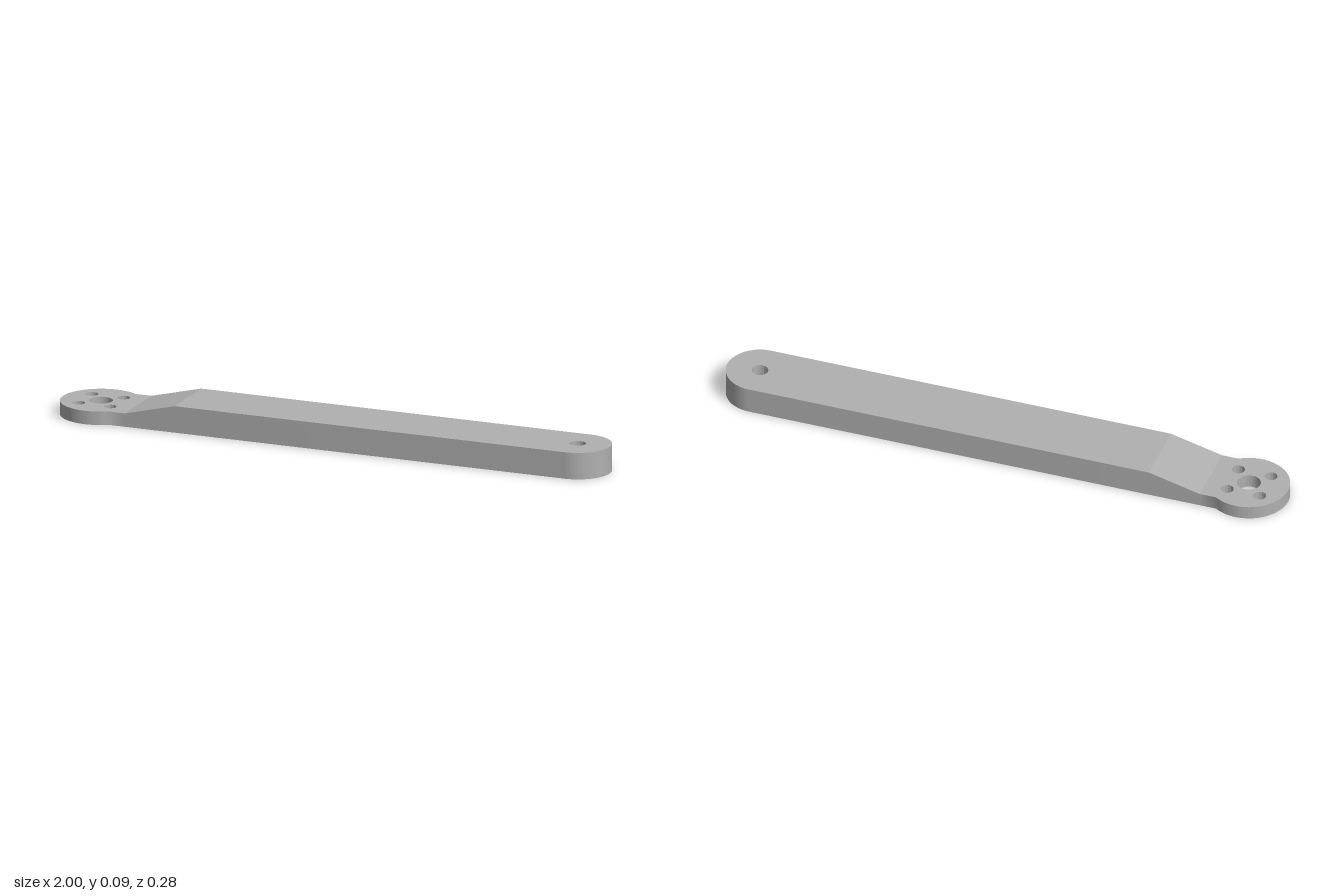
import * as THREE from 'three';
import { toCreasedNormals } from 'three/addons/utils/BufferGeometryUtils.js';

const HALF = 0.1155;                      // half width of the bar
const DISC_X = -0.861, DISC_R = 0.139;    // mounting disc
const END_X = 1 - HALF;                   // centre of the rounded tip
const RAMP_START = -0.725, RAMP_END = -0.543;
const LOW = 0.047, HIGH = 0.093;

export function createModel() {
  const group = new THREE.Group();
  group.name = 'motorArm';
  const grey = new THREE.MeshStandardMaterial({ color: 0xb0b0b0 });
  grey.name = 'grey';

  const hole = (shape, x, z, r) => {
    const path = new THREE.Path();
    path.absarc(x, z, r, 0, Math.PI * 2, true);
    shape.holes.push(path);
  };
  const add = (name, geometry) => {
    const mesh = new THREE.Mesh(toCreasedNormals(geometry, 0.6), grey);
    mesh.name = name;
    group.add(mesh);
  };
  // plan outline raised to a height
  const plate = (shape, height) => new THREE.ExtrudeGeometry(shape, {
    depth: height, bevelEnabled: false, curveSegments: 48,
  }).rotateX(-Math.PI / 2);

  // thin mounting disc with its short neck
  const a = Math.asin(HALF / DISC_R);
  const mount = new THREE.Shape();
  mount.moveTo(RAMP_START, -HALF);
  mount.lineTo(RAMP_START, HALF);
  mount.absarc(DISC_X, 0, DISC_R, a, Math.PI * 2 - a, false);
  mount.closePath();
  hole(mount, DISC_X, 0, 0.04);
  for (const sx of [-1, 1]) for (const sz of [-1, 1]) {
    hole(mount, DISC_X + sx * 0.058, sz * 0.058, 0.022);
  }
  add('mountingDisc', plate(mount, LOW));

  // ramp rising from the disc to the bar
  const ramp = new THREE.Shape([
    new THREE.Vector2(RAMP_START, 0), new THREE.Vector2(RAMP_END, 0),
    new THREE.Vector2(RAMP_END, HIGH), new THREE.Vector2(RAMP_START, LOW),
  ]);
  add('ramp', new THREE.ExtrudeGeometry(ramp, {
    depth: HALF * 2, bevelEnabled: false,
  }).translate(0, 0, -HALF));

  // full height bar with rounded tip and pivot hole
  const bar = new THREE.Shape();
  bar.moveTo(RAMP_END, -HALF);
  bar.lineTo(END_X, -HALF);
  bar.absarc(END_X, 0, HALF, -Math.PI / 2, Math.PI / 2, false);
  bar.lineTo(RAMP_END, HALF);
  bar.closePath();
  hole(bar, END_X, 0, 0.028);
  add('bar', plate(bar, HIGH));

  return group;
}
